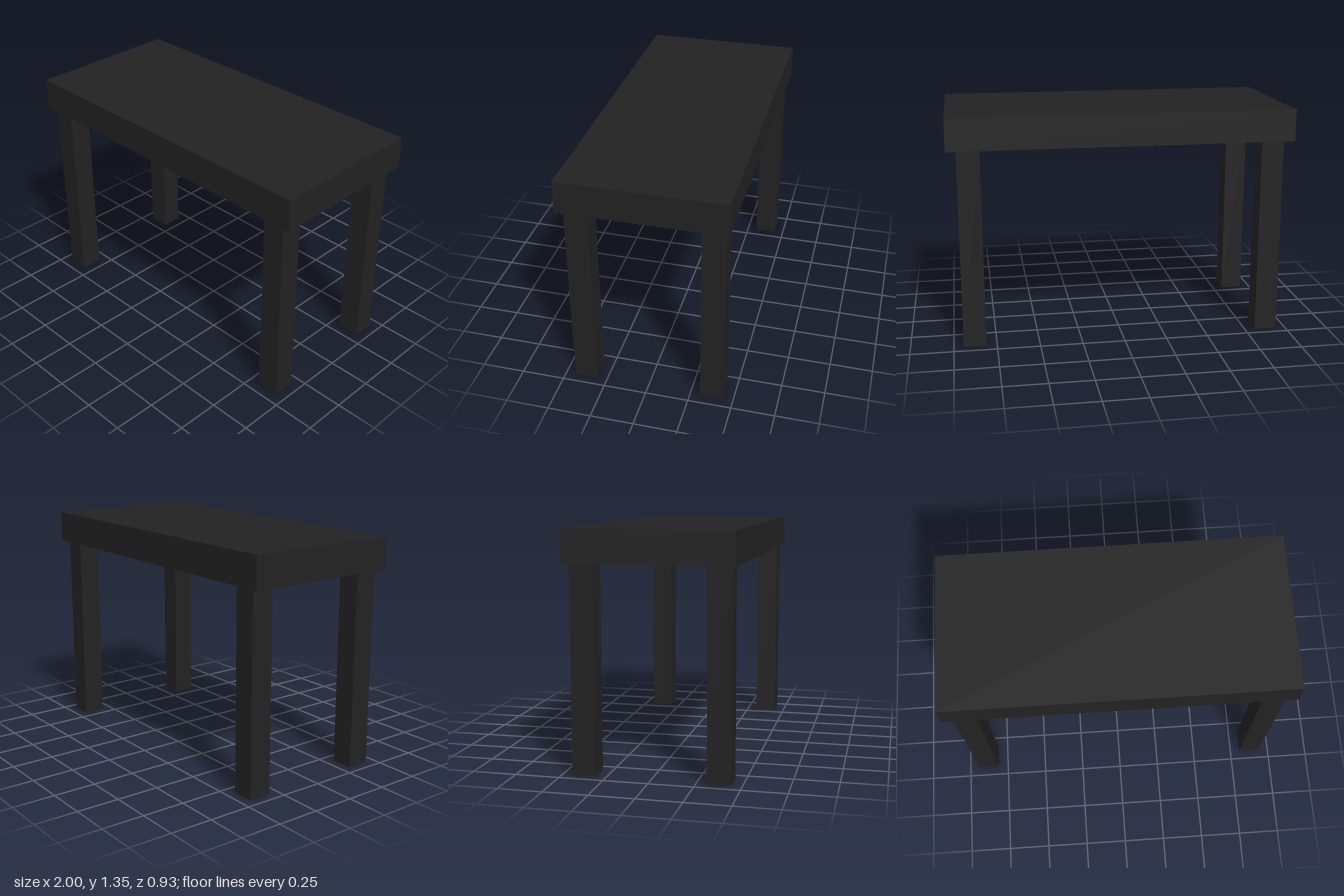
import * as THREE from 'three';

export function createModel() {
  const table = new THREE.Group();
  table.name = 'table';
  const black = new THREE.MeshStandardMaterial({ color: 0x222222, flatShading: true, side: THREE.DoubleSide });
  black.name = 'charcoal black';

  const legHeight = 1.163, topHeight = 0.185, legWidth = 0.132;

  // Thick rectangular slab
  const top = new THREE.Mesh(new THREE.BoxGeometry(2, topHeight, 0.934), black);
  top.name = 'tableTop';
  top.position.y = legHeight + topHeight / 2;
  table.add(top);

  // Hollow square legs, open at the foot
  const legGeometry = new THREE.CylinderGeometry(
    legWidth / Math.SQRT2, legWidth / Math.SQRT2, legHeight, 4, 1, true, Math.PI / 4);
  for (const [xName, x] of [['Left', 0.877], ['Right', -0.877]]) {
    for (const [zName, z] of [['front', 0.375], ['back', -0.375]]) {
      const leg = new THREE.Mesh(legGeometry, black);
      leg.name = `${zName}${xName}Leg`;
      leg.position.set(x, legHeight / 2, z);
      table.add(leg);
    }
  }
  return table;
}
